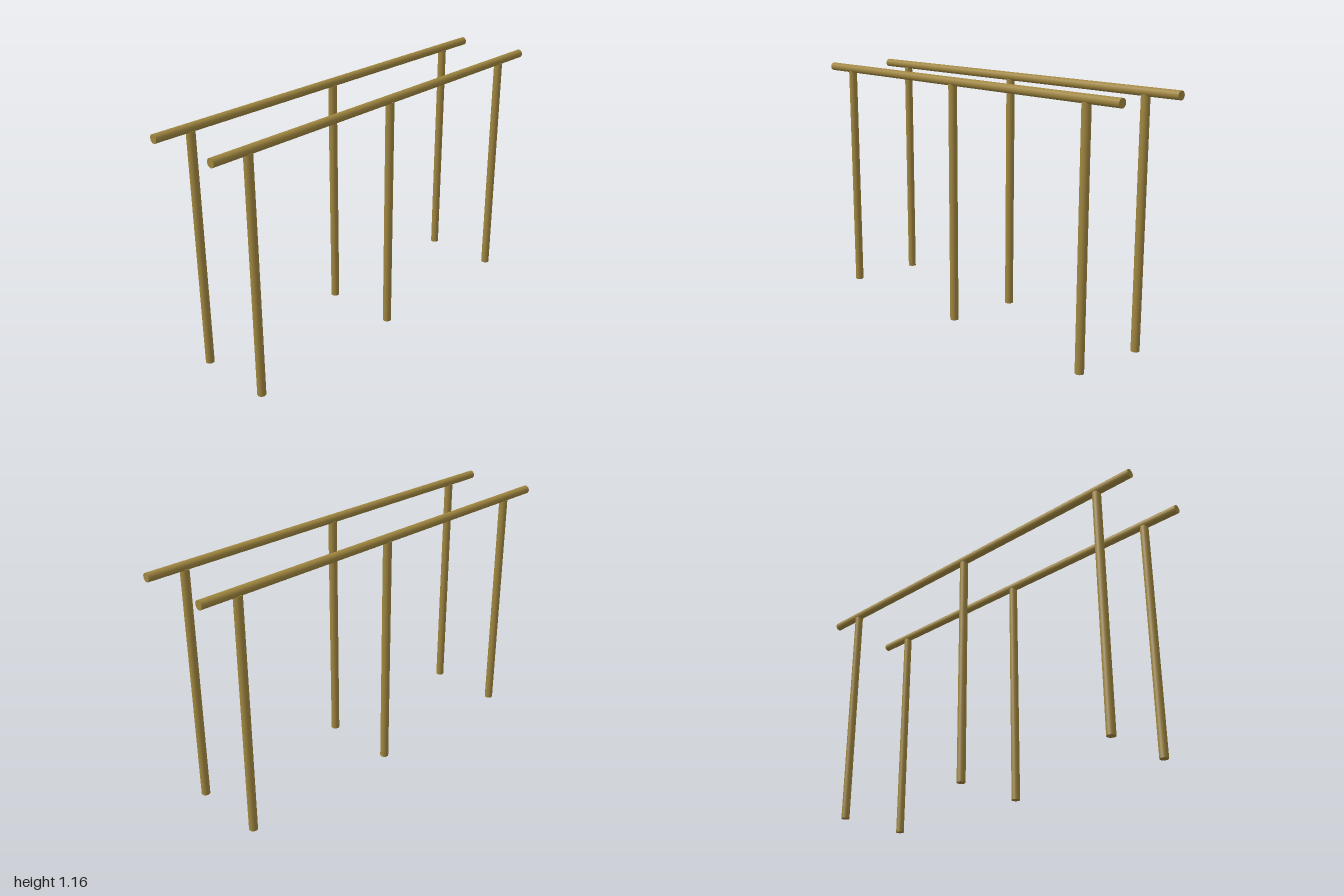
import * as THREE from 'three';

export function createModel() {
  const group = new THREE.Group();
  const brass = new THREE.MeshStandardMaterial({ color: 0xa08640 });
  brass.name = 'agedBrass';

  const railGeometry = new THREE.CylinderGeometry(0.02, 0.02, 2, 24).rotateZ(Math.PI / 2);
  const postHeight = 1.132;
  const postGeometry = new THREE.CylinderGeometry(0.02, 0.02, postHeight, 24);

  function add(name, geometry, x, y, z) {
    const mesh = new THREE.Mesh(geometry, brass);
    mesh.name = name;
    mesh.position.set(x, y, z);
    group.add(mesh);
  }

  // Two parallel rails, each standing on three posts
  for (const [side, z] of [['front', 0.179], ['back', -0.179]]) {
    add(side + 'Rail', railGeometry, 0, 1.144, z);
    for (const [place, x] of [['Right', -0.82], ['Middle', 0], ['Left', 0.82]]) {
      add(side + place + 'Post', postGeometry, x, postHeight / 2, z);
    }
  }
  return group;
}
